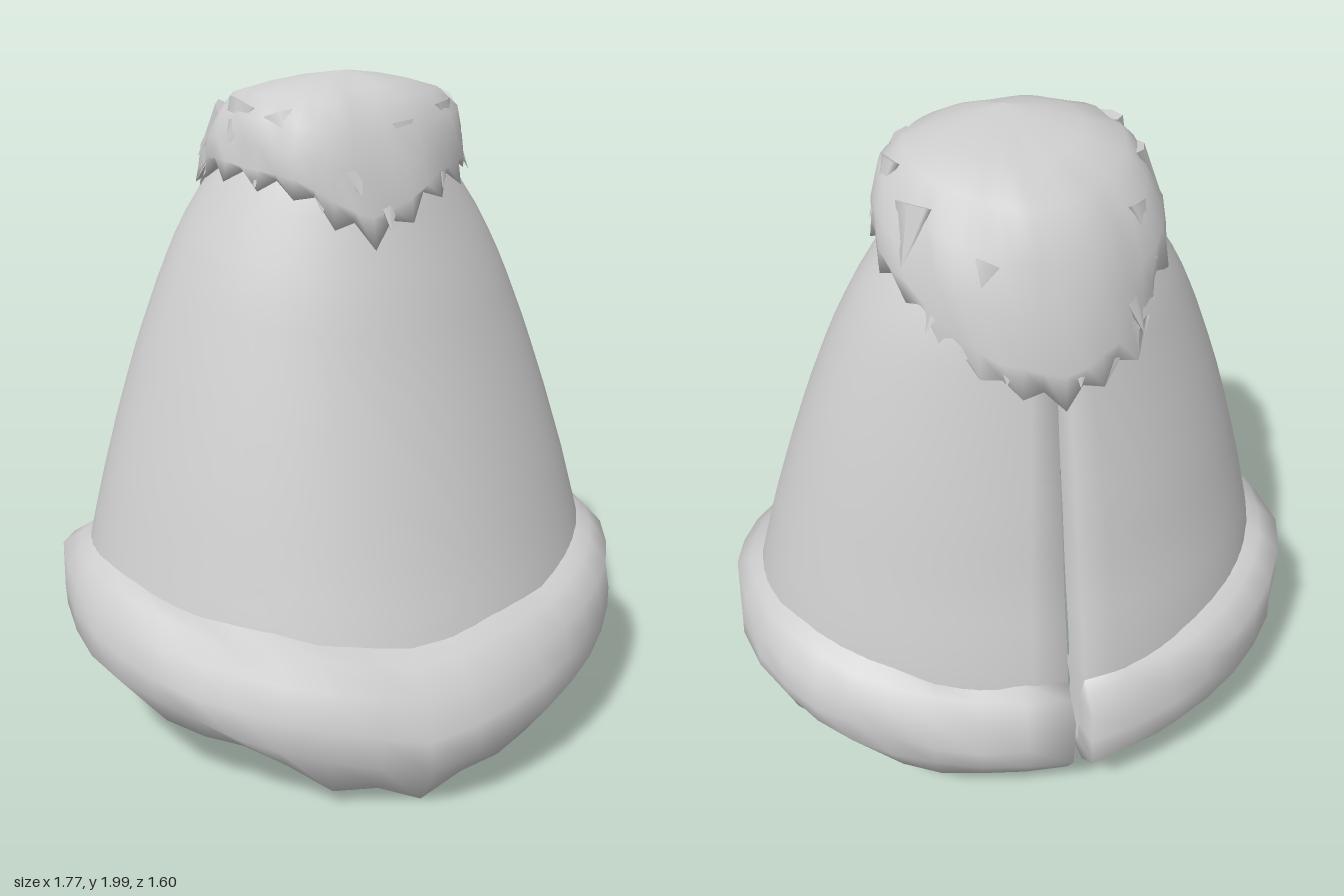
import * as THREE from 'three';

const fur = new THREE.MeshStandardMaterial({ color: 0xcccccc, side: THREE.DoubleSide });
fur.name = 'pale grey';

// Repeatable noise in -1..1
const noise = (n) => {
  const s = Math.sin(n * 127.1 + 11.7) * 43758.5453;
  return (s - Math.floor(s)) * 2 - 1;
};

// Linear lookup in rows sorted by their first entry; returns column c
function lookup(rows, k, c = 1) {
  if (k <= rows[0][0]) return rows[0][c];
  for (let i = 1; i < rows.length; i++) {
    if (k <= rows[i][0]) {
      const f = (k - rows[i - 1][0]) / (rows[i][0] - rows[i - 1][0]);
      return THREE.MathUtils.lerp(rows[i - 1][c], rows[i][c], f);
    }
  }
  return rows[rows.length - 1][c];
}

// Skin a grid of points: rows run downward, columns run round from the back
function loft(name, rows, cols, closed, point) {
  const pos = [], idx = [];
  const n = closed ? cols : cols + 1;
  for (let i = 0; i < rows; i++)
    for (let j = 0; j < n; j++) pos.push(...point(i, j));
  for (let i = 0; i < rows - 1; i++)
    for (let j = 0; j < cols; j++) {
      const a = i * n + j, b = i * n + ((j + 1) % n), c = a + n, d = b + n;
      idx.push(a, c, d, a, d, b);
    }
  const g = new THREE.BufferGeometry();
  g.setAttribute('position', new THREE.Float32BufferAttribute(pos, 3));
  g.setIndex(idx);
  g.computeVertexNormals();
  const mesh = new THREE.Mesh(g, fur);
  mesh.name = name;
  return mesh;
}

// Cloak wall: height, half width, front z, back z
const wall = [
  [0, 0.84, 0.7, -0.73], [0.2, 0.84, 0.68, -0.73], [0.45, 0.825, 0.61, -0.715],
  [0.6, 0.795, 0.555, -0.69], [0.8, 0.745, 0.49, -0.645], [1.0, 0.687, 0.425, -0.61],
  [1.2, 0.622, 0.36, -0.57], [1.4, 0.545, 0.3, -0.53], [1.55, 0.475, 0.245, -0.5],
  [1.68, 0.39, 0.2, -0.46], [1.75, 0.34, 0.17, -0.42], [1.85, 0.22, 0.08, -0.3],
];
// Trims the plan a little on the diagonals, more at the front
const diagonal = (a) => 1 - (Math.cos(a) > 0 ? 0.035 : 0.015) * Math.sin(2 * a) ** 2;

function wallPoint(a, y) {
  const w = lookup(wall, y, 1), f = lookup(wall, y, 2), b = lookup(wall, y, 3);
  const s = diagonal(a);
  return [w * s * Math.sin(a), y, (f + b) / 2 + ((f - b) / 2) * s * Math.cos(a)];
}

// Edge heights against the turn from front (0) to back (1)
const hem = [[0, 0.02], [0.08, 0.06], [0.15, 0.12], [0.25, 0.19], [0.37, 0.27],
  [0.5, 0.32], [0.58, 0.34], [0.68, 0.27], [0.82, 0.17], [1, 0.12]];
const seam = [[0, 0.45], [0.2, 0.49], [0.4, 0.58], [0.55, 0.59], [0.8, 0.52], [1, 0.47]];
const bulgeTop = [[0, 0.34], [0.25, 0.43], [0.5, 0.53], [0.8, 0.44], [1, 0.38]];
const bulgeLow = [[0, 0.15], [0.25, 0.27], [0.5, 0.39], [0.8, 0.28], [1, 0.21]];
const capEdge = [[0, 1.54], [0.08, 1.59], [0.17, 1.67], [0.4, 1.72], [0.5, 1.7],
  [0.63, 1.62], [0.73, 1.53], [0.86, 1.42], [1, 1.36]];

// Columns round the cloak, the first and last folded in to make the back slit
function slit(cols, depth, gap, point) {
  return (i, j) => {
    const fold = j === 0 || j === cols;
    const k = THREE.MathUtils.clamp(j, 1, cols - 1);
    const a = Math.PI * 0.99 * (((k - 1) / (cols - 2)) * 2 - 1);
    const p = point(i, a, Math.abs(a) / Math.PI, k);
    return fold ? [Math.sign(a) * gap, Math.max(p[1], 0.2), p[2] + depth] : p;
  };
}

function makeCloak() {
  const cols = 50, rows = 22;
  return loft('cloak', rows, cols, false, slit(cols, 0.07, 0.004, (i, a, t) => {
    const y = THREE.MathUtils.lerp(1.85, lookup(hem, t) + 0.09, i / (rows - 1));
    return wallPoint(a, y);
  }));
}

// Widest outline of the hem trim, squarer at the back
function outline(a, size, y) {
  const c = Math.cos(a), s = size * diagonal(a);
  const z = c > 0 ? 0.8 * c : -0.795 * Math.pow(-c, 0.74);
  return [0.885 * s * Math.sin(a), y, z * s];
}

function makeHemTrim() {
  const cols = 40;
  return loft('hemTrim', 7, cols, false, slit(cols, 0.14, 0.012, (i, a, t, k) => {
    const lump = noise(Math.floor(k / 2) * 3 + i) * 0.013;
    const low = lookup(hem, t), lowMid = lookup(bulgeLow, t), topMid = lookup(bulgeTop, t);
    const front = Math.max(0, Math.cos(a)), back = Math.max(0, -Math.cos(a));
    const topSize = 0.995 - 0.06 * front - 0.01 * back;
    const tooth = t < 0.02 ? -0.01 : noise(k * 7) * 0.028;
    const top = lookup(seam, t) + lump;
    if (i === 0) return wallPoint(a, top);
    if (i === 1) {
      const p = wallPoint(a, top), q = outline(a, topSize, topMid);
      return p.map((v, n) => v * 0.55 + q[n] * 0.45 + (n === 1 ? 0.012 : 0));
    }
    if (i === 2) return outline(a, topSize + lump, topMid + lump);
    if (i === 3) return outline(a, 0.995 - 0.02 * front + lump, (topMid + lowMid) / 2 - 0.01);
    if (i === 4) return outline(a, 0.995 + lump, Math.max(lowMid, low + 0.05));
    if (i === 5) return outline(a, 0.98 - 0.09 * front - 0.07 * back + lump, low + tooth);
    return wallPoint(a, low + 0.09);
  }));
}

// Fur cap rings: half width, front z, back z, share of the drop to the edge
const capRings = [
  [0.001, 0, -0.002, 0], [0.11, 0.07, -0.14, 0.04], [0.2, 0.13, -0.26, 0.1],
  [0.3, 0.19, -0.38, 0.2], [0.365, 0.235, -0.455, 0.4], [0.395, 0.255, -0.505, 0.63],
  [0.4, 0.27, -0.54, 0.85], [0.392, 0.265, -0.538, 1],
];
function capPoint(i, a, t) {
  const [w, f, b, drop] = capRings[i];
  return [w * Math.sin(a), 2 - (2 - lookup(capEdge, t)) * drop,
    (f + b) / 2 + ((f - b) / 2) * Math.cos(a)];
}

function makeCap() {
  const cols = 44, last = capRings.length - 1;
  return loft('furCap', last + 2, cols, true, (i, j) => {
    const a = -Math.PI + (j / cols) * Math.PI * 2, t = Math.abs(a) / Math.PI;
    if (i > last) return wallPoint(a, lookup(capEdge, t) + 0.07);
    const p = capPoint(i, a, t);
    let out = 0;
    if (i === last) {
      // pointed locks along the edge
      out = j % 2 ? -0.004 : 0.014 + noise(j) * 0.012;
      p[1] += j % 2 ? 0.03 : -0.012 + noise(j * 5) * 0.012;
    } else if (i > 2) {
      out = noise(i * 50 + Math.floor(j / 2)) * 0.012;
    }
    p[0] += Math.sin(a) * out;
    p[2] += Math.cos(a) * out;
    return p;
  });
}

// Flattened locks rooted inside the cap, with only their tips standing out
function makeTufts() {
  const group = new THREE.Group();
  group.name = 'furTufts';
  const shape = new THREE.ConeGeometry(0.07, 0.17, 6);
  shape.rotateX(Math.PI);
  shape.scale(1, 1, 0.3);
  const count = 24;
  for (let k = 0; k < count; k++) {
    const a = -Math.PI + ((k + 0.5) / count) * Math.PI * 2;
    const p = capPoint(k % 2 ? 5 : 6, a, Math.abs(a) / Math.PI);
    const tuft = new THREE.Mesh(shape, fur);
    tuft.name = 'furTuft';
    tuft.position.set(p[0] - Math.sin(a) * 0.022, p[1] + 0.02, p[2] - Math.cos(a) * 0.022);
    tuft.rotation.set(-0.42 + noise(k) * 0.06, a, noise(k + 40) * 0.3, 'YXZ');
    group.add(tuft);
  }
  return group;
}

export function createModel() {
  const model = new THREE.Group();
  model.name = 'furTrimmedCloak';
  model.add(makeCloak(), makeHemTrim(), makeCap(), makeTufts());
  return model;
}
